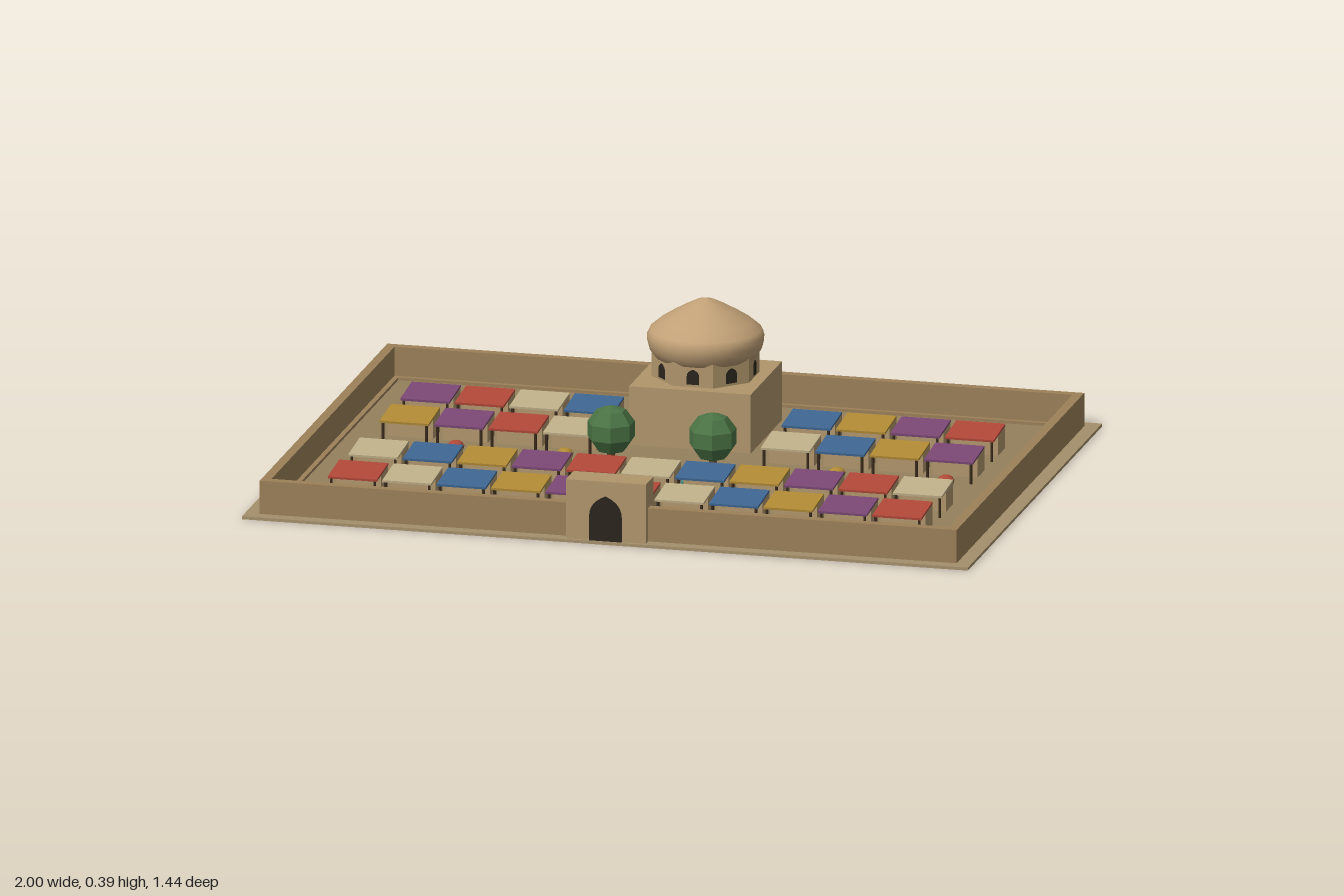
import * as THREE from 'three';

const mat = (color, extra = {}) => {
  const m = new THREE.MeshStandardMaterial(extra);
  m.color.setHex(color);
  return m;
};
const M = {
  ground: mat(0xa48f6a), floor: mat(0x94805c), wall: mat(0x9c8058), stone: mat(0xb0966c),
  drum: mat(0xb0966c, { flatShading: true }), dome: mat(0xc0a076, { side: THREE.DoubleSide }),
  dark: mat(0x2a241c, { side: THREE.DoubleSide }), wood: mat(0x3c2c1e), basket: mat(0x80623c),
  leaf: mat(0x4a7344, { flatShading: true }), trunk: mat(0x5c4229), water: mat(0x4a8484),
  R: mat(0xb04838), C: mat(0xc0b08a), B: mat(0x3e6692), Y: mat(0xb08a34), P: mat(0x7a4874),
};

function add(parent, name, geo, material, x = 0, y = 0, z = 0) {
  const mesh = new THREE.Mesh(geo, material);
  mesh.name = name;
  mesh.position.set(x, y, z);
  parent.add(mesh);
  return mesh;
}

// Box standing on height y
const box = (parent, name, material, w, h, d, x, y, z) =>
  add(parent, name, new THREE.BoxGeometry(w, h, d), material, x, y + h / 2, z);

// Rectangular ring standing on height y
function frame(parent, name, material, x, z, t, h, y) {
  const rect = (Type, a, b) => {
    const s = new Type();
    s.moveTo(-a, -b).lineTo(a, -b).lineTo(a, b).lineTo(-a, b).closePath();
    return s;
  };
  const shape = rect(THREE.Shape, x, z);
  shape.holes.push(rect(THREE.Path, x - t, z - t));
  const geo = new THREE.ExtrudeGeometry(shape, { depth: h, bevelEnabled: false });
  geo.rotateX(-Math.PI / 2);
  add(parent, name, geo, material, 0, y, 0);
}

// Flat pointed arch, base at the origin, facing +z
function archGeometry(w, h) {
  const s = new THREE.Shape();
  s.moveTo(-w / 2, 0).lineTo(w / 2, 0).lineTo(w / 2, h * 0.55);
  s.quadraticCurveTo(w / 2, h * 0.85, 0, h);
  s.quadraticCurveTo(-w / 2, h * 0.85, -w / 2, h * 0.55);
  return new THREE.ShapeGeometry(s, 6);
}

function makeHall() {
  const hall = new THREE.Group();
  hall.name = 'domedHall';
  box(hall, 'hallBase', M.stone, 0.335, 0.175, 0.335, 0, 0, 0);
  // Octagonal drum with a window on each side
  const apothem = 0.134;
  const r = apothem / Math.cos(Math.PI / 8);
  const drum = add(hall, 'drum', new THREE.CylinderGeometry(r, r, 0.065, 8), M.drum, 0, 0.2075, 0);
  drum.rotation.y = Math.PI / 8;
  const windowGeo = archGeometry(0.034, 0.042);
  for (let i = 0; i < 8; i++) {
    const a = i * Math.PI / 4;
    const w = add(hall, 'window', windowGeo, M.dark,
      Math.sin(a) * (apothem + 0.002), 0.182, Math.cos(a) * (apothem + 0.002));
    w.rotation.y = a;
  }
  // Bulging dome with a soft point
  const profile = [[0, 0.23], [0.137, 0.23], [0.151, 0.25], [0.156, 0.27], [0.157, 0.287],
    [0.15, 0.302], [0.125, 0.323], [0.09, 0.345], [0.055, 0.365], [0.025, 0.38], [0, 0.387]];
  add(hall, 'dome', new THREE.LatheGeometry(profile.map(p => new THREE.Vector2(...p)), 28), M.dome);
  hall.position.set(0, 0, -0.36);
  return hall;
}

const postGeo = new THREE.CylinderGeometry(0.004, 0.004, 0.06, 6);

function makeStall(color, x, z) {
  const stall = new THREE.Group();
  stall.name = 'stall';
  box(stall, 'booth', M.stone, 0.124, 0.068, 0.075, 0, 0.01, -0.045);
  const awning = box(stall, 'awning', color, 0.135, 0.006, 0.124, 0, 0.074, 0);
  awning.rotation.x = 0.1;
  for (const s of [-1, 1]) add(stall, 'awningPost', postGeo, M.wood, s * 0.06, 0.04, 0.054);
  stall.position.set(x, 0, z);
  return stall;
}

const basketGeo = new THREE.CylinderGeometry(0.023, 0.018, 0.02, 10);
const heapGeo = new THREE.SphereGeometry(0.021, 10, 5, 0, Math.PI * 2, 0, Math.PI / 2).scale(1, 0.6, 1);

function makeBasket(color, x, z) {
  const basket = new THREE.Group();
  basket.name = 'basket';
  add(basket, 'basketBody', basketGeo, M.basket, 0, 0.02, 0);
  add(basket, 'goods', heapGeo, color, 0, 0.03, 0);
  basket.position.set(x, 0, z);
  return basket;
}

export function createModel() {
  const model = new THREE.Group();
  model.name = 'walledMarket';

  // Ground, courtyard and walls
  box(model, 'ground', M.ground, 2, 0.008, 1.44, 0, 0, 0);
  box(model, 'courtyard', M.floor, 1.85, 0.004, 1.29, 0, 0.008, 0);
  frame(model, 'wall', M.wall, 0.96, 0.685, 0.026, 0.092, 0.008);
  frame(model, 'wallFooting', M.wall, 0.936, 0.661, 0.016, 0.012, 0.008);

  // Gate with a dark arched doorway
  box(model, 'gate', M.stone, 0.22, 0.172, 0.082, 0, 0, 0.668);
  add(model, 'doorway', archGeometry(0.09, 0.125), M.dark, 0, 0.008, 0.714);

  model.add(makeHall());

  // Pool between two trees
  box(model, 'pool', M.water, 0.17, 0.014, 0.105, 0, 0.008, 0.103);
  for (const x of [-0.14, 0.14]) {
    const tree = new THREE.Group();
    tree.name = 'tree';
    add(tree, 'trunk', new THREE.CylinderGeometry(0.01, 0.014, 0.09, 6), M.trunk, 0, 0.05, 0);
    add(tree, 'foliage', new THREE.SphereGeometry(0.068, 7, 5), M.leaf, 0, 0.14, 0);
    tree.position.set(x, 0, 0.108);
    model.add(tree);
  }

  // Rows of stalls: one letter per column, a dot for a gap; the second line is the baskets
  const rows = [
    [-0.33, 'PRCB...BYPR', 'Y.R....R.Y.'],
    [-0.108, 'YPRC...CBYP', '.R.Y....Y.R'],
    [0.228, 'CBYPRCBYPRC', '.Y.R.Y.R.Y.'],
    [0.448, 'RCBYPRCBYPR', 'Y.R.Y.R.Y.R'],
  ];
  for (const [z, awnings, baskets] of rows) {
    for (let i = 0; i < 11; i++) {
      const x = (i - 5) * 0.15;
      if (awnings[i] !== '.') model.add(makeStall(M[awnings[i]], x, z));
      if (baskets[i] !== '.') model.add(makeBasket(M[baskets[i]], x, z + 0.089));
    }
  }
  return model;
}
